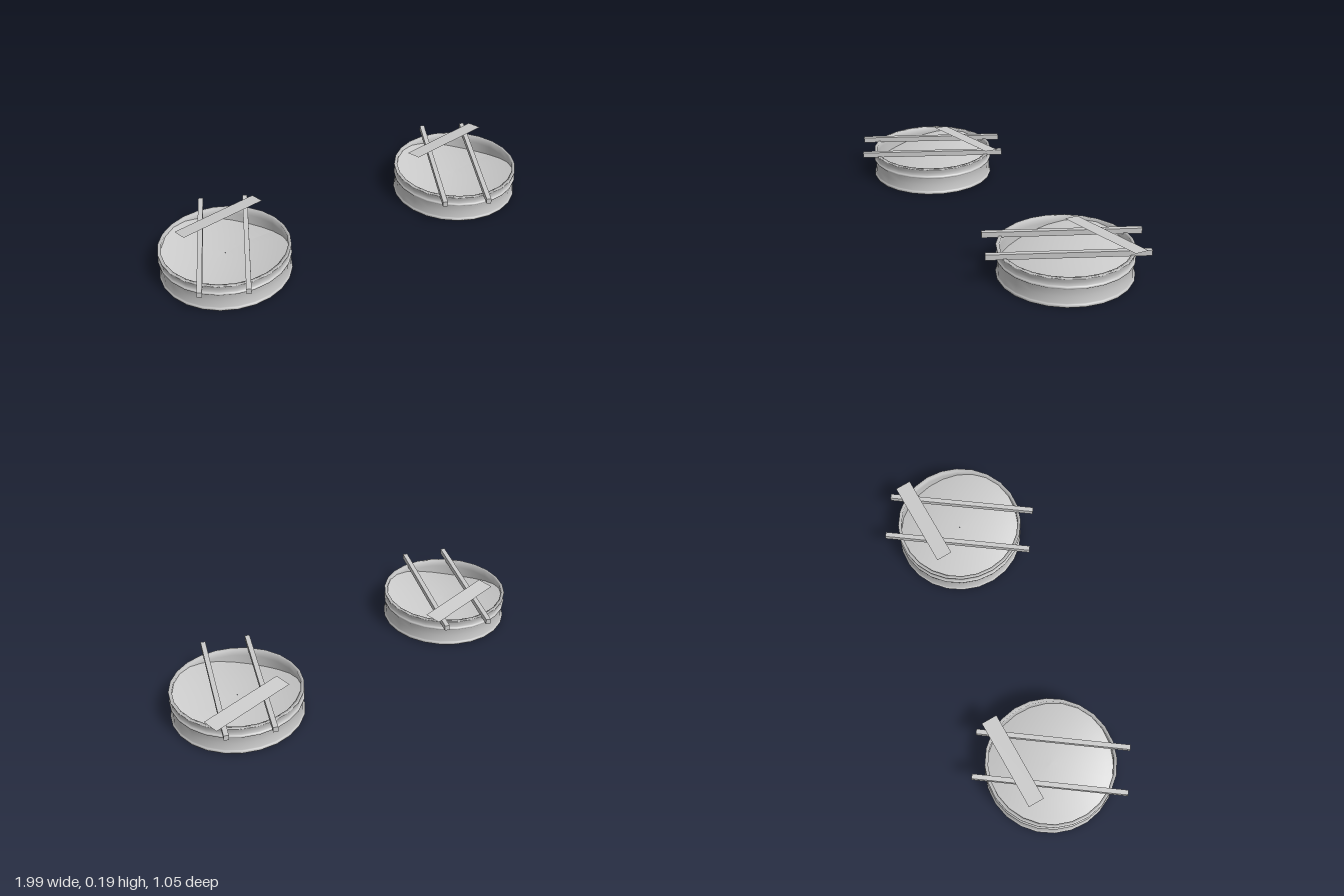
import * as THREE from 'three';

const grey = new THREE.MeshStandardMaterial({ color: 0xcccccc, side: THREE.DoubleSide });
const SIDES = 24;

function part(name, geometry, parent) {
  const mesh = new THREE.Mesh(geometry, grey);
  mesh.name = name;
  parent.add(mesh);
  return mesh;
}

// Open-ended round wall with two raised bands and a narrow rim
function wallGeometry() {
  const profile = [
    [0.311, 0], [0.319, 0.002], [0.322, 0.009], [0.319, 0.016], [0.315, 0.02],
    [0.313, 0.055], [0.315, 0.09], [0.32, 0.094], [0.321, 0.099], [0.319, 0.104],
    [0.314, 0.108], [0.314, 0.125], [0.32, 0.14], [0.32, 0.146], [0.304, 0.146],
    [0.306, 0.11], [0.308, 0.055], [0.309, 0.015], [0.311, 0],
  ].map(([r, y]) => new THREE.Vector2(r, y));
  return new THREE.LatheGeometry(profile, SIDES);
}

// Warped sheet inside the wall: high along one axis, low across it
function sheetGeometry() {
  const geo = new THREE.RingGeometry(0.001, 0.308, SIDES, 8);
  geo.rotateX(-Math.PI / 2);
  const p = geo.attributes.position;
  const axis = THREE.MathUtils.degToRad(70);
  for (let i = 0; i < p.count; i++) {
    const x = p.getX(i), z = p.getZ(i);
    const r = Math.hypot(x, z) / 0.308;
    p.setY(i, 0.095 + 0.042 * r * r * Math.cos(2 * (Math.atan2(z, x) - axis)));
  }
  geo.computeVertexNormals();
  return geo;
}

// Thin plank, turned slightly and sloping up towards the front
function plankGeometry() {
  const geo = new THREE.PlaneGeometry(0.466, 0.081);
  geo.rotateX(-Math.PI / 2);
  geo.rotateY(-0.075);
  geo.translate(0.099, 0, -0.1575);
  const p = geo.attributes.position;
  for (let i = 0; i < p.count; i++) p.setY(i, 0.1825 + 0.13 * (p.getZ(i) + 0.1575));
  geo.computeVertexNormals();
  return geo;
}

function createDrum(name) {
  const drum = new THREE.Group();
  drum.name = name;
  part('wall', wallGeometry(), drum);
  part('warpedSheet', sheetGeometry(), drum);

  // Two parallel bars across the rim
  [['rearBar', -0.0925, -0.07], ['frontBar', 0.0825, 0.0675]].forEach(([barName, x, z]) => {
    const bar = part(barName, new THREE.BoxGeometry(0.75, 0.027, 0.024), drum);
    bar.position.set(x, 0.1535, z);
    bar.rotation.y = THREE.MathUtils.degToRad(50.7);
  });

  part('plank', plankGeometry(), drum);
  return drum;
}

export function createModel() {
  const model = new THREE.Group();
  model.name = 'coveredDrums';
  [['rightDrum', -1], ['leftDrum', 1]].forEach(([name, s]) => {
    const drum = createDrum(name);
    drum.position.set(0.66 * s, 0, 0.158 * s);
    model.add(drum);
  });
  return model;
}
